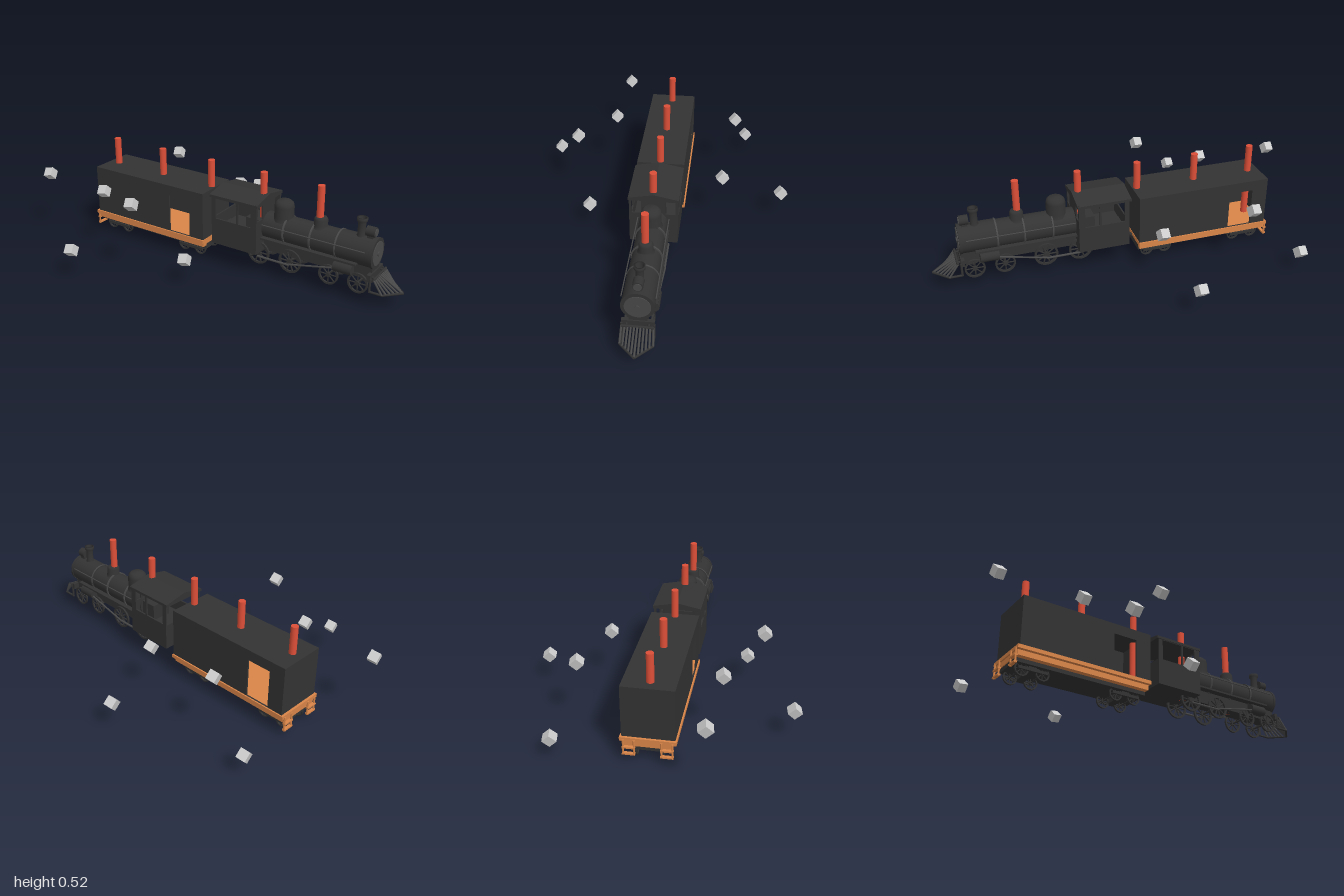
import * as THREE from 'three';

const mat = (color) => new THREE.MeshStandardMaterial({ color });
const dark = mat(0x333333), iron = mat(0x484848), wood = mat(0xd98548), red = mat(0xdd4f38), pale = mat(0xcccccc);

export function createModel() {
  const root = new THREE.Group();

  const add = (name, geo, material, x = 0, y = 0, z = 0, parent = root) => {
    const m = new THREE.Mesh(geo, material);
    m.name = name;
    m.position.set(x, y, z);
    parent.add(m);
    return m;
  };
  // Box given by its limits on each axis
  const box = (name, material, x0, x1, y0, y1, z0, z1, parent = root) =>
    add(name, new THREE.BoxGeometry(x1 - x0, y1 - y0, z1 - z0), material,
      (x0 + x1) / 2, (y0 + y1) / 2, (z0 + z1) / 2, parent);
  // Cylinder lying along x
  const drum = (name, material, r, x0, x1, y, z = 0, seg = 32) =>
    add(name, new THREE.CylinderGeometry(r, r, x1 - x0, seg).rotateZ(Math.PI / 2), material, (x0 + x1) / 2, y, z);
  // Round bar between two points
  const rod = (name, material, a, b, r, parent = root) => {
    const p = new THREE.Vector3(...a), q = new THREE.Vector3(...b);
    const m = add(name, new THREE.CylinderGeometry(r, r, p.distanceTo(q), 8), material, 0, 0, 0, parent);
    m.position.copy(p).add(q).multiplyScalar(0.5);
    m.quaternion.setFromUnitVectors(new THREE.Vector3(0, 1, 0), q.sub(p).normalize());
    return m;
  };
  const lathe = (name, points, x, y) =>
    add(name, new THREE.LatheGeometry(points.map(([r, h]) => new THREE.Vector2(r, h)), 28), dark, x, y, 0);
  // Flat wall with rectangular openings, each [x0, x1, y0, y1]
  const wall = ([x0, x1, y0, y1], holes, depth) => {
    const corners = (a, b, c, d) => [[a, c], [b, c], [b, d], [a, d]].map((p) => new THREE.Vector2(...p));
    const s = new THREE.Shape(corners(x0, x1, y0, y1));
    for (const h of holes) s.holes.push(new THREE.Path(corners(...h)));
    return new THREE.ExtrudeGeometry(s, { depth, bevelEnabled: false });
  };

  // Spoked wheel pairs on an axle
  const wheelPair = (name, x, y, r, z, spokes) => {
    const g = new THREE.Group();
    g.name = name;
    g.position.set(x, y, 0);
    root.add(g);
    const t = r * 0.09;
    const rim = new THREE.Shape().absarc(0, 0, r, 0, Math.PI * 2);
    rim.holes.push(new THREE.Path().absarc(0, 0, r * 0.83, 0, Math.PI * 2));
    const rimGeo = new THREE.ExtrudeGeometry(rim, { depth: 0.01, bevelEnabled: false, curveSegments: 24 }).translate(0, 0, -0.005);
    for (const s of [-1, 1]) {
      add('wheelRim', rimGeo, dark, 0, 0, s * z, g);
      add('wheelHub', new THREE.CylinderGeometry(r * 0.22, r * 0.22, 0.016, 16).rotateX(Math.PI / 2), dark, 0, 0, s * z, g);
      for (let i = 0; i < spokes; i++) {
        const a = (i / spokes) * Math.PI * 2;
        rod('wheelSpoke', dark, [0, 0, s * z], [Math.cos(a) * r * 0.88, Math.sin(a) * r * 0.88, s * z], t * 0.75, g);
      }
    }
    rod('axle', dark, [0, 0, -z], [0, 0, z], r * 0.1, g);
  };
  for (const x of [0.246, 0.427]) wheelPair('drivingWheels', x, 0.112, 0.062, 0.062, 10);
  for (const x of [0.637, 0.79]) wheelPair('leadingWheels', x, 0.102, 0.052, 0.06, 8);
  for (const x of [-0.727, -0.62, -0.22, -0.117]) wheelPair('carWheels', x, 0.035, 0.035, 0.06, 8);

  // Boiler, smokebox and bands
  drum('boiler', dark, 0.07, 0.25, 0.66, 0.25);
  drum('smokebox', dark, 0.074, 0.66, 0.85, 0.25);
  for (const x of [0.385, 0.53, 0.665]) drum('boilerBand', iron, 0.0765, x - 0.004, x + 0.004, 0.25);
  drum('smokeboxRing', dark, 0.077, 0.84, 0.853, 0.25);
  drum('smokeboxDoor', iron, 0.06, 0.85, 0.857, 0.25);
  drum('doorBoss', iron, 0.012, 0.855, 0.862, 0.25, 0, 12);

  // Domes, chimney and headlamp
  lathe('steamDome', [[0.056, 0], [0.05, 0.02], [0.05, 0.075], [0.046, 0.092], [0.034, 0.103], [0, 0.108]], 0.353, 0.297);
  lathe('sandDome', [[0.042, 0], [0.034, 0.015], [0.034, 0.045], [0.027, 0.056], [0, 0.06]], 0.555, 0.307);
  lathe('chimney', [[0.03, 0], [0.019, 0.02], [0.019, 0.08], [0.026, 0.088], [0.026, 0.104], [0.018, 0.104], [0.014, 0.03], [0, 0.03]], 0.765, 0.308);
  drum('headlamp', dark, 0.025, 0.793, 0.838, 0.353, 0, 20);
  drum('headlampGlass', iron, 0.019, 0.836, 0.842, 0.353, 0, 20);
  box('headlampBracket', dark, 0.8, 0.83, 0.315, 0.335, -0.015, 0.015);

  // Locomotive chassis
  box('mainFrame', dark, 0.0, 0.85, 0.125, 0.2, -0.042, 0.042);
  box('bufferBeam', dark, 0.838, 0.856, 0.13, 0.165, -0.075, 0.075);
  for (const s of [-1, 1]) {
    const z = (a, b) => (s > 0 ? [a, b] : [-b, -a]);
    box('runningBoard', dark, 0.26, 0.78, 0.194, 0.204, ...z(0.035, 0.08));
    drum('steamCylinder', dark, 0.028, 0.665, 0.76, 0.16, s * 0.058, 20);
    rod('couplingRod', iron, [0.246, 0.095, s * 0.073], [0.427, 0.095, s * 0.073], 0.006);
    rod('pistonRod', iron, [0.427, 0.1, s * 0.076], [0.69, 0.155, s * 0.07], 0.005);
    rod('handrail', iron, [0.27, 0.275, s * 0.077], [0.82, 0.275, s * 0.077], 0.003);
  }

  // Cab
  const cab = new THREE.Group();
  cab.name = 'cab';
  root.add(cab);
  const cabSide = wall([0, 0.265, 0.125, 0.385], [[0.025, 0.147, 0.265, 0.375], [0.157, 0.232, 0.265, 0.375]], 0.008);
  for (const z of [0.113, -0.121]) add('cabSide', cabSide, dark, 0, 0, z, cab);
  const cabFront = wall([-0.12, 0.12, 0.125, 0.395], [[-0.108, -0.06, 0.3, 0.375], [0.06, 0.108, 0.3, 0.375]], 0.008).rotateY(Math.PI / 2);
  add('cabFront', cabFront, dark, 0.257, 0, 0, cab);
  box('cabRearWall', dark, 0, 0.008, 0.125, 0.265, -0.12, 0.12, cab);
  box('cabFloor', dark, 0, 0.265, 0.125, 0.195, -0.115, 0.115, cab);
  box('firebox', dark, 0.165, 0.262, 0.19, 0.285, -0.055, 0.055, cab);
  const roof = new THREE.Shape([[-0.125, 0.378], [0.125, 0.378], [0.125, 0.392], [0, 0.417], [-0.125, 0.392]]
    .map((p) => new THREE.Vector2(...p)));
  add('cabRoof', new THREE.ExtrudeGeometry(roof, { depth: 0.28, bevelEnabled: false }).rotateY(Math.PI / 2), dark, -0.01, 0, 0, cab);

  // Cowcatcher: raked bars meeting a pointed base
  const plow = new THREE.Group();
  plow.name = 'cowcatcher';
  root.add(plow);
  rod('plowTopBar', dark, [0.872, 0.147, -0.074], [0.872, 0.147, 0.074], 0.007, plow);
  for (let i = -5; i <= 5; i++) {
    const z = i * 0.015;
    rod('plowBar', iron, [0.872, 0.147, z * 0.95], [0.99 - Math.abs(z) * 0.95, 0.082, z], 0.0052, plow);
  }
  for (const s of [-1, 1]) {
    rod('plowBase', dark, [0.994, 0.081, 0], [0.918, 0.081, s * 0.075], 0.006, plow);
    rod('plowSide', dark, [0.918, 0.081, s * 0.073], [0.853, 0.081, s * 0.073], 0.006, plow);
    rod('plowPost', dark, [0.856, 0.15, s * 0.073], [0.856, 0.079, s * 0.073], 0.006, plow);
    rod('plowStay', dark, [0.85, 0.147, s * 0.05], [0.875, 0.147, s * 0.05], 0.006, plow);
  }

  // Coupling between locomotive and car
  rod('coupling', dark, [-0.065, 0.085, 0], [0.005, 0.155, 0], 0.009);

  // Hollow car body with an open doorway on each side, at opposite ends
  const carBack = -0.77, carFront = -0.055;
  const body = (door) => wall([carBack, carFront, 0.12, 0.38], [[...door, 0.122, 0.325]], 0.008);
  add('carSide', body([-0.27, -0.14]), dark, 0, 0, 0.115);
  add('carSide', body([-0.685, -0.555]), dark, 0, 0, -0.123);
  box('carEnd', dark, carBack, carBack + 0.008, 0.12, 0.38, -0.12, 0.12);
  box('carEnd', dark, carFront - 0.008, carFront, 0.12, 0.38, -0.12, 0.12);
  box('carRoof', dark, carBack, carFront, 0.372, 0.38, -0.123, 0.123);

  // Car floor, sills and underframe
  box('carFloor', wood, -0.782, -0.053, 0.102, 0.121, -0.13, 0.13);
  box('carSill', wood, -0.775, -0.06, 0.075, 0.102, -0.112, 0.112);
  box('underframe', dark, -0.77, -0.06, 0.055, 0.085, -0.085, 0.085);
  for (const x of [-0.6735, -0.1685]) {
    box('truckBolster', dark, x - 0.02, x + 0.02, 0.03, 0.06, -0.07, 0.07);
    for (const z of [-0.073, 0.073]) box('truckFrame', dark, x - 0.075, x + 0.075, 0.03, 0.044, z - 0.004, z + 0.004);
  }
  // Steps at the rear corners
  for (const s of [-1, 1]) {
    for (const z of [0.062, 0.112]) rod('stepPost', wood, [-0.783, 0.11, s * z], [-0.783, 0.032, s * z], 0.005);
    for (const y of [0.038, 0.072]) box('stepTread', wood, -0.791, -0.775, y - 0.004, y + 0.004, s * 0.087 - 0.03, s * 0.087 + 0.03);
  }

  // Row of upright posts
  for (let i = 0; i < 5; i++)
    add('post', new THREE.CylinderGeometry(0.018, 0.018, 0.4, 20), red, -0.71 + i * 0.315, 0.325, 0.003);

  // Scattered tilted cubes
  const cubes = [[-0.97, 0.35, 0.28], [-0.82, 0.107, -0.438], [-0.555, 0.346, 0.305], [-0.234, 0.405, 0.465],
    [-0.495, 0.156, 0.632], [0.01, 0.135, 0.373], [-0.18, 0.15, -0.64], [-0.568, 0.36, -0.37], [-0.107, 0.28, -0.322]];
  for (const c of cubes)
    add('floatingCube', new THREE.BoxGeometry(0.048, 0.048, 0.048), pale, ...c).rotation.set(-0.75, 0, 0.25);

  return root;
}
